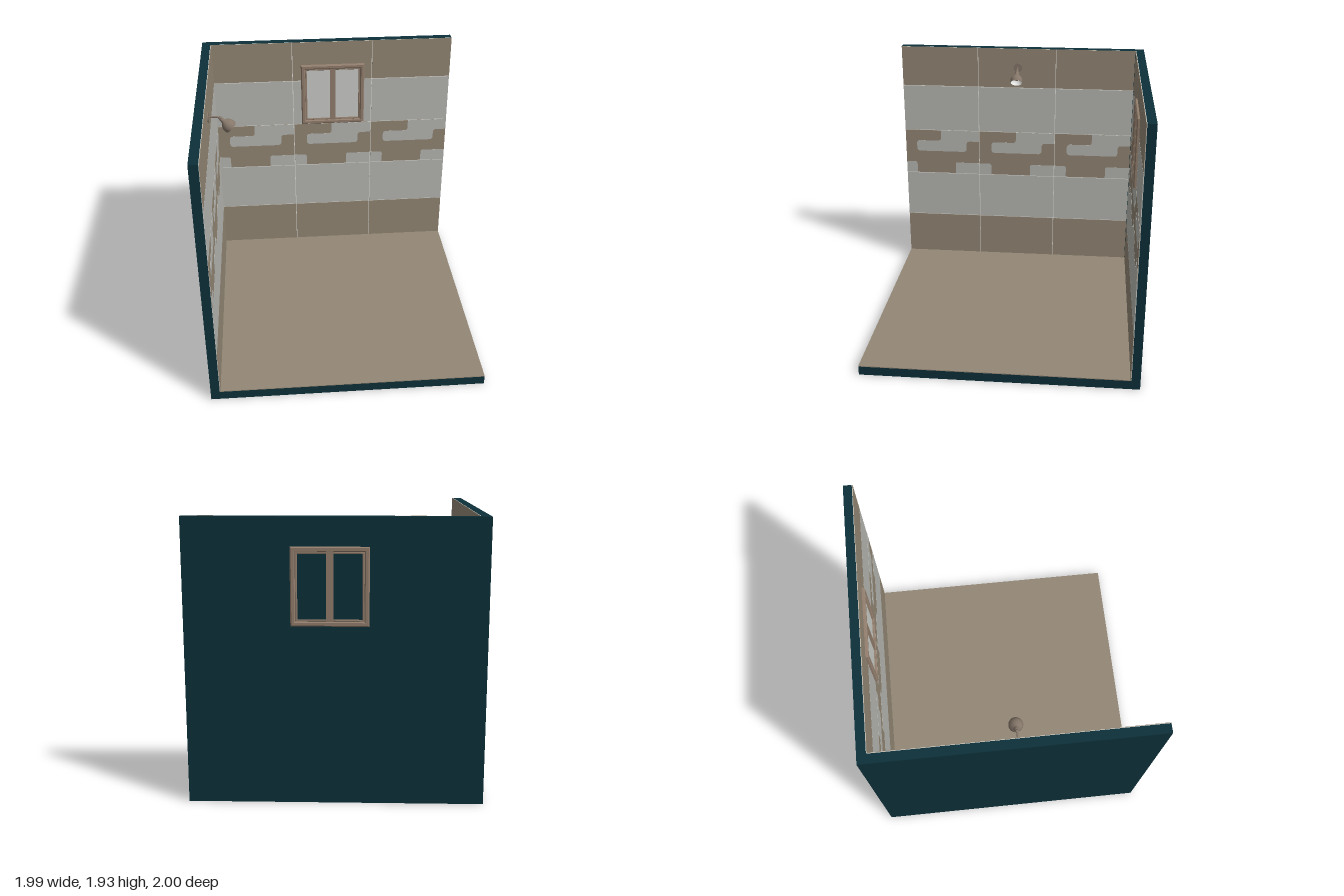
import * as THREE from 'three';

const mat = (name, color, side = THREE.FrontSide) => {
  const m = new THREE.MeshStandardMaterial({ color, side });
  m.name = name;
  return m;
};

export function createModel() {
  const room = new THREE.Group();
  room.name = 'roomCorner';
  const teal = mat('darkTeal', 0x0d3039);
  const brown = mat('tileBrown', 0x948875);
  const grey = mat('tileGrey', 0xb8b8b3);
  const grout = mat('groutWhite', 0xe4e4de);
  const wood = mat('windowBrown', 0x937f6e);
  const glass = mat('paneGrey', 0xcdcfcb);
  const metal = mat('lampBrown', 0x86776a);
  const white = mat('lampWhite', 0xf2f2f0, THREE.DoubleSide);
  const bulbMat = mat('bulbGrey', 0x6a6a6a);

  const add = (parent, name, geometry, material) => {
    const m = new THREE.Mesh(geometry, material);
    m.name = name;
    parent.add(m);
    return m;
  };
  // box given by its two opposite corners
  const box = (parent, name, a, b, material) => {
    const g = new THREE.BoxGeometry(b[0] - a[0], b[1] - a[1], b[2] - a[2]);
    g.translate((a[0] + b[0]) / 2, (a[1] + b[1]) / 2, (a[2] + b[2]) / 2);
    return add(parent, name, g, material);
  };

  // structural slabs
  box(room, 'floorSlab', [-0.995, 0, -0.99], [0.995, 0.066, 1], teal);
  box(room, 'backWall', [-0.995, 0.066, -0.99], [0.995, 1.93, -0.928], teal);
  box(room, 'leftWall', [-0.995, 0.066, -0.928], [-0.93, 1.93, 1], teal);
  box(room, 'floorCovering', [-0.93, 0.066, -0.928], [0.995, 0.072, 1], brown);

  // polygon with rounded corners; points are [x, y, radius]
  function roundedShape(points) {
    const s = new THREE.Shape();
    const n = points.length;
    points.forEach(([x, y, r], i) => {
      const toward = ([px, py]) => {
        const d = Math.hypot(px - x, py - y) || 1;
        return [x + ((px - x) / d) * r, y + ((py - y) / d) * r];
      };
      const a = toward(points[(i + n - 1) % n]);
      const b = toward(points[(i + 1) % n]);
      if (i === 0) s.moveTo(...a);
      else s.lineTo(...a);
      if (r > 0) s.quadraticCurveTo(x, y, ...b);
    });
    s.closePath();
    return s;
  }

  // tiled wall surface: x runs along the wall, z points into the room
  const W = 1.92, TILE = 0.645, START = -0.01, GAP = 0.0025;
  const rows = [0.072, 0.43, 0.82, 1.21, 1.6, 1.93];
  const rowMats = [brown, grey, brown, grey, brown];
  const R = 0.03;
  const motifs = [
    [[0.105, 1.02, R], [0.535, 1.02, R], [0.535, 1.115, R], [0.6425, 1.115, 0],
      [0.6425, 1.2075, 0], [0.315, 1.2075, 0], [0.315, 1.115, R], [0.105, 1.115, R]],
    [[0.0025, 0.8225, 0], [0.102, 0.8225, 0], [0.102, 0.92, 0.02], [0.0025, 0.92, 0]],
    [[0.437, 0.8225, 0], [0.6425, 0.8225, 0], [0.6425, 0.92, 0], [0.437, 0.92, 0.02]],
  ];
  function tiledWall(name) {
    const g = new THREE.Group();
    g.name = name;
    box(g, 'grout', [0, 0.072, 0], [W, 1.93, 0.003], grout);
    for (let k = 0; k < 3; k++) {
      const u = START + k * TILE;
      const clamp = (x) => Math.min(W, Math.max(0, x));
      const x0 = clamp(u + GAP), x1 = clamp(u + TILE - GAP);
      rowMats.forEach((m, r) => {
        const y0 = rows[r] + (r ? GAP : 0);
        const y1 = rows[r + 1] - (r < 4 ? GAP : 0);
        box(g, 'tile', [x0, y0, 0.002], [x1, y1, 0.006], m);
      });
      motifs.forEach((pts) => {
        const shape = roundedShape(pts.map(([x, y, r]) => [clamp(u + x), y, r]));
        const geo = new THREE.ExtrudeGeometry(shape, { depth: 0.002, bevelEnabled: false, curveSegments: 6 });
        geo.translate(0, 0, 0.0055);
        add(g, 'tileMotif', geo, grey);
      });
    }
    room.add(g);
    return g;
  }
  tiledWall('backTiles').position.set(-0.925, 0, -0.928);
  const leftTiles = tiledWall('leftTiles');
  leftTiles.position.set(-0.93, 0, 1);
  leftTiles.rotation.y = Math.PI / 2;

  // window: bevelled frame through the wall, two sashes and panes
  const win = new THREE.Group();
  win.name = 'window';
  room.add(win);
  const rect = (C, x0, y0, x1, y1) => {
    const s = new C();
    s.moveTo(x0, y0);
    s.lineTo(x1, y0);
    s.lineTo(x1, y1);
    s.lineTo(x0, y1);
    s.closePath();
    return s;
  };
  function frame(name, x0, y0, x1, y1, t, z0, z1, bevel) {
    const b = bevel;
    const s = rect(THREE.Shape, x0 + b, y0 + b, x1 - b, y1 - b);
    s.holes.push(rect(THREE.Path, x0 + t - b, y0 + t - b, x1 - t + b, y1 - t + b));
    const geo = new THREE.ExtrudeGeometry(s, {
      depth: z1 - z0 - 2 * b, bevelThickness: b, bevelSize: b, bevelSegments: 1,
    });
    geo.translate(0, 0, z0 + b);
    add(win, name, geo, wood);
  }
  frame('windowFrame', -0.222, 1.217, 0.293, 1.738, 0.034, -1, -0.9, 0.008);
  for (const [x0, x1] of [[-0.19, 0.034], [0.037, 0.261]]) {
    frame('sash', x0, 1.249, x1, 1.706, 0.015, -0.996, -0.909, 0.003);
    box(win, 'pane', [x0 + 0.01, 1.255, -0.921], [x1 - 0.01, 1.7, -0.916], glass);
  }
  box(win, 'centreBar', [0.012, 1.249, -0.997], [0.059, 1.706, -0.906], wood);

  // wall lamp
  const lamp = new THREE.Group();
  lamp.name = 'wallLamp';
  lamp.position.set(0, 0, 0.033);
  room.add(lamp);
  const plate = add(lamp, 'lampPlate', new THREE.CylinderGeometry(0.036, 0.036, 0.008, 24), metal);
  plate.rotation.z = Math.PI / 2;
  plate.position.set(-0.921, 1.772, 0);
  const armPath = new THREE.CatmullRomCurve3([
    new THREE.Vector3(-0.922, 1.772, 0), new THREE.Vector3(-0.87, 1.772, 0),
    new THREE.Vector3(-0.845, 1.768, 0), new THREE.Vector3(-0.825, 1.75, 0),
  ]);
  add(lamp, 'lampArm', new THREE.TubeGeometry(armPath, 16, 0.006, 8), metal);
  add(lamp, 'lampJoint', new THREE.SphereGeometry(0.013, 12, 8), metal).position.set(-0.838, 1.764, 0);

  // shade turned on an axis pointing down into the room
  const head = new THREE.Group();
  head.name = 'lampHead';
  head.position.set(-0.838, 1.764, 0);
  head.quaternion.setFromUnitVectors(new THREE.Vector3(0, -1, 0), new THREE.Vector3(0.68, -0.73, 0).normalize());
  lamp.add(head);
  const profile = [[0.047, -0.108], [0.05, -0.09], [0.047, -0.072], [0.037, -0.054],
    [0.022, -0.038], [0.016, -0.03], [0.015, -0.008], [0, -0.004]];
  const lathe = (k) => new THREE.LatheGeometry(
    profile.map(([r, y]) => new THREE.Vector2(Math.max(0, r - k), y - (y > -0.1 ? k : 0))), 28);
  add(head, 'lampShade', lathe(0), metal);
  add(head, 'shadeLining', lathe(0.002), white);
  add(head, 'bulb', new THREE.SphereGeometry(0.02, 16, 12), bulbMat).position.y = -0.068;

  return room;
}
